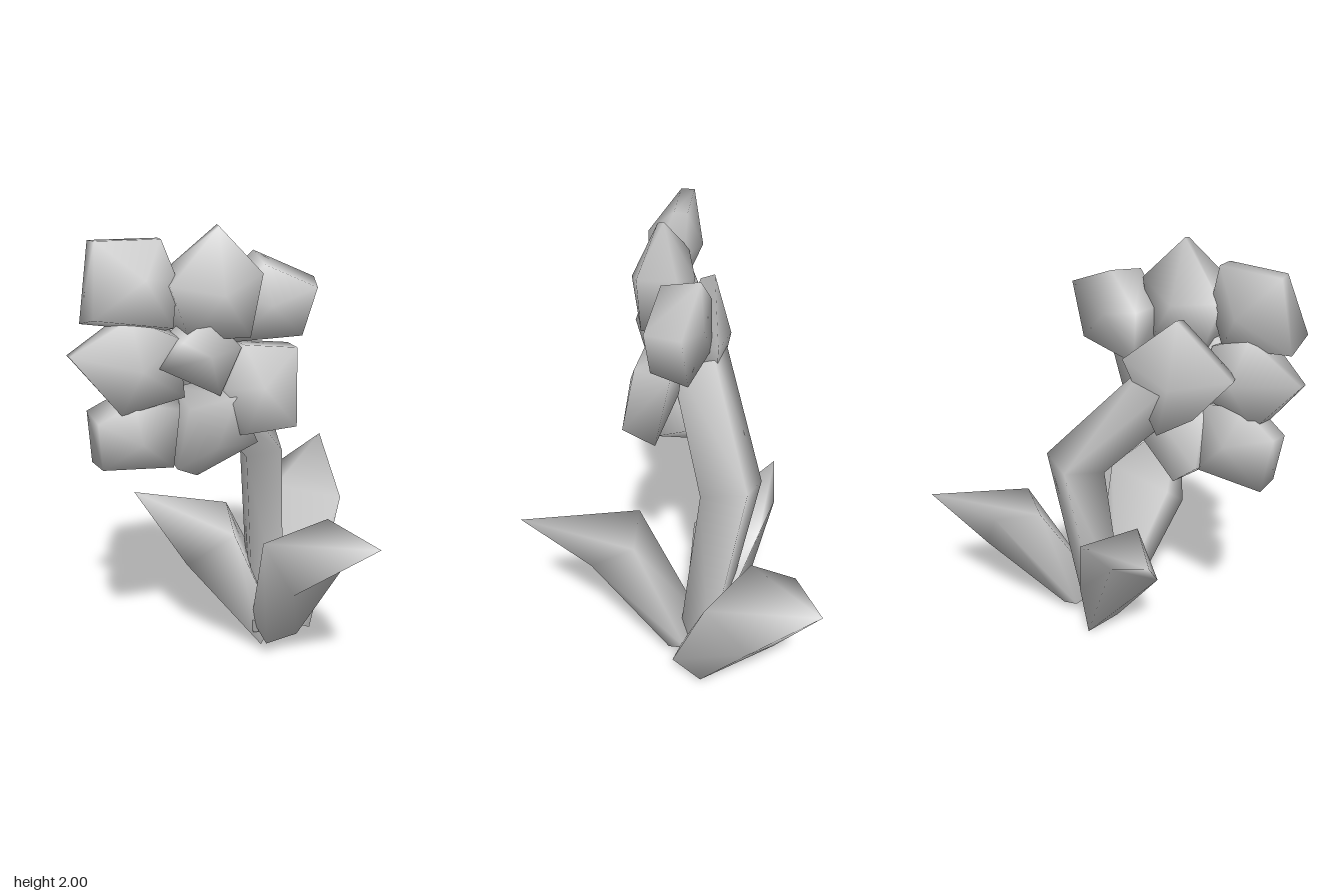
import * as THREE from 'three';

const material = new THREE.MeshStandardMaterial({ color: 0xcccccc });
const vec = (p) => new THREE.Vector3(...p);
const centroid = (ring) =>
  ring.reduce((sum, p) => sum.add(p), new THREE.Vector3()).divideScalar(ring.length);

// Closed smooth skin over equal-sized rings, ending in a point at both ends
function loft(name, rings, start = centroid(rings[0]), end = centroid(rings.at(-1))) {
  const n = rings[0].length;
  const points = [...rings.flat(), start, end];
  const s = points.length - 2, e = s + 1, last = (rings.length - 1) * n;
  const faces = [];
  for (let i = 0; i < n; i++) {
    const j = (i + 1) % n;
    faces.push([s, j, i], [e, last + i, last + j]);
    for (let r = 0; r < last; r += n) {
      faces.push([r + i, r + j, r + n + j], [r + i, r + n + j, r + n + i]);
    }
  }
  // Turn the faces outward whichever way the rings run
  const middle = centroid(points);
  const volume = faces.reduce((sum, f) => {
    const [a, b, c] = f.map((k) => points[k].clone().sub(middle));
    return sum + a.dot(b.cross(c));
  }, 0);
  if (volume < 0) faces.forEach((f) => f.reverse());

  const geometry = new THREE.BufferGeometry().setFromPoints(points);
  geometry.setIndex(faces.flat());
  geometry.computeVertexNormals();
  const mesh = new THREE.Mesh(geometry, material);
  mesh.name = name;
  return mesh;
}

// Thick pillow on a plane of depth z sloping by kx and ky; its front rim is scaled by taper.
// Outline corners are x, y and, where the rim thins out, a share of the thickness.
function pillow({ name, outline, z, kx, ky = 0, thick = 0.14, bulge = 0.05, taper = 0.94 }) {
  const flat = outline.map(([x, y]) => new THREE.Vector3(x, y, 0));
  const c = centroid(flat);
  const normal = new THREE.Vector3(-kx, -ky, 1).normalize();
  const place = (p, offset) =>
    new THREE.Vector3(p.x, p.y, z + kx * (p.x - c.x) + ky * (p.y - c.y))
      .addScaledVector(normal, offset);
  const h = thick / 2;
  const ring = (side, scale) => flat.map((p, i) =>
    place(c.clone().lerp(p, scale), side * h * (outline[i][2] ?? 1)));
  return loft(name, [ring(-1, 1), ring(1, taper)], place(c, -h - bulge), place(c, h + bulge));
}

const head = [
  { name: 'petalTopLeft', z: 0.335, kx: -0.32, ky: -0.25,
    outline: [[-0.53, 1.97, 0.4], [-0.27, 1.96, 0.4], [-0.22, 1.8, 0.8], [-0.25, 1.62], [-0.56, 1.68]] },
  { name: 'petalTop', z: 0.26, kx: -0.3, thick: 0.16, taper: 0.98,
    outline: [[-0.05, 2, 0.15], [0.1, 1.82], [0.05, 1.57], [-0.2, 1.59], [-0.27, 1.8]] },
  { name: 'petalTopRight', z: 0.085, kx: -0.12, thick: 0.16, bulge: 0.02, taper: 0.84,
    outline: [[0.13, 1.86], [0.39, 1.74], [0.32, 1.51], [-0.01, 1.5], [-0.02, 1.72]] },
  { name: 'petalRight', z: 0.23, kx: -0.2, ky: -0.24, thick: 0.15, bulge: 0.03, taper: 0.9,
    outline: [[0.27, 1.51], [0.26, 1.17], [0.03, 1.16], [-0.06, 1.36], [0.03, 1.54]] },
  { name: 'petalBottom', z: 0.23, kx: -0.3, ky: 0.35,
    outline: [[0.11, 1.13], [-0.14, 0.95, 0.25], [-0.25, 1.05], [-0.2, 1.35], [0, 1.38]] },
  { name: 'petalBottomLeft', z: 0.32, kx: -0.22, ky: 0.15, thick: 0.11, bulge: 0.08, taper: 0.88,
    outline: [[-0.56, 1.3], [-0.55, 1.07], [-0.23, 1.04], [-0.2, 1.33], [-0.4, 1.38]] },
  { name: 'petalLeft', z: 0.345, kx: -0.2, thick: 0.11, bulge: 0.08, taper: 0.98,
    outline: [[-0.63, 1.55, 0.3], [-0.45, 1.31], [-0.2, 1.36], [-0.22, 1.6], [-0.4, 1.69]] },
  { name: 'flowerCentre', z: 0.31, kx: -0.55, thick: 0.12, bulge: 0.05, taper: 1,
    outline: [[-0.12, 1.68], [0.01, 1.53], [-0.08, 1.35], [-0.31, 1.5], [-0.23, 1.59]] },
  { name: 'calyx', z: 0.12, kx: -0.48, thick: 0.06, bulge: 0.07,
    outline: [[-0.2, 1.74], [-0.43, 1.54], [-0.28, 1.33], [-0.13, 1.21], [0.02, 1.52]] },
];

// Each leaf: base corners, corners at the widest part, and the tip
const leaves = [
  { name: 'leafFront', tip: [0.53, 0.82, 0.68],
    base: [[0.13, 0.15, 0.03], [0.32, 0.11, 0.02], [0.33, 0.1, 0.1], [0.18, 0.09, 0.15]],
    wide: [[0.13, 0.69, 0.32], [0.43, 0.73, 0.2], [0.52, 0.66, 0.36], [0.23, 0.53, 0.49]] },
  { name: 'leafBack', tip: [0.58, 0.79, -0.68],
    base: [[0.29, 0.13, 0.04], [0.4, 0.1, 0.05], [0.43, 0.06, -0.1],
      [0.37, 0.06, -0.13], [0.3, 0.08, -0.1]],
    wide: [[0.29, 0.69, -0.28], [0.58, 0.65, -0.19], [0.63, 0.53, -0.4],
      [0.5, 0.48, -0.46], [0.33, 0.72, -0.49]] },
  { name: 'leafSide', tip: [-0.39, 0.75, -0.14],
    base: [[0.23, 0.15, 0.07], [0.26, 0.2, -0.1], [0.17, 0, -0.11], [0.17, 0.03, 0.06]],
    wide: [[0.04, 0.62, 0.09], [0.04, 0.64, -0.22], [-0.2, 0.66, -0.21], [-0.17, 0.47, 0.06]] },
];

// Four-cornered ring around a stem joint, facing along the given direction
function stemRing({ at, facing, halfWidth, halfDepth }) {
  const turn = new THREE.Quaternion().setFromUnitVectors(
    new THREE.Vector3(0, 1, 0), vec(facing).normalize());
  return [[-1, -1], [1, -1], [1, 1], [-1, 1]].map(([x, z]) =>
    new THREE.Vector3(x * halfWidth, 0, z * halfDepth).applyQuaternion(turn).add(vec(at)));
}

const stemJoints = [
  { at: [0.2, 0.1, 0], facing: [0, 1, -0.1], halfWidth: 0.07, halfDepth: 0.075 },
  { at: [0.185, 0.98, -0.145], facing: [-0.2, 1, 0.3], halfWidth: 0.08, halfDepth: 0.108 },
  { at: [-0.13, 1.44, 0.14], facing: [-0.55, 0.8, 0.5], halfWidth: 0.08, halfDepth: 0.1 },
];

export function createModel() {
  const model = new THREE.Group();
  model.name = 'flower';

  const blossom = new THREE.Group();
  blossom.name = 'blossom';
  head.forEach((part) => blossom.add(pillow(part)));
  model.add(blossom);

  model.add(loft('stem', stemJoints.map(stemRing)));

  for (const { name, base, wide, tip } of leaves) {
    model.add(loft(name, [base.map(vec), wide.map(vec)], undefined, vec(tip)));
  }
  return model;
}
